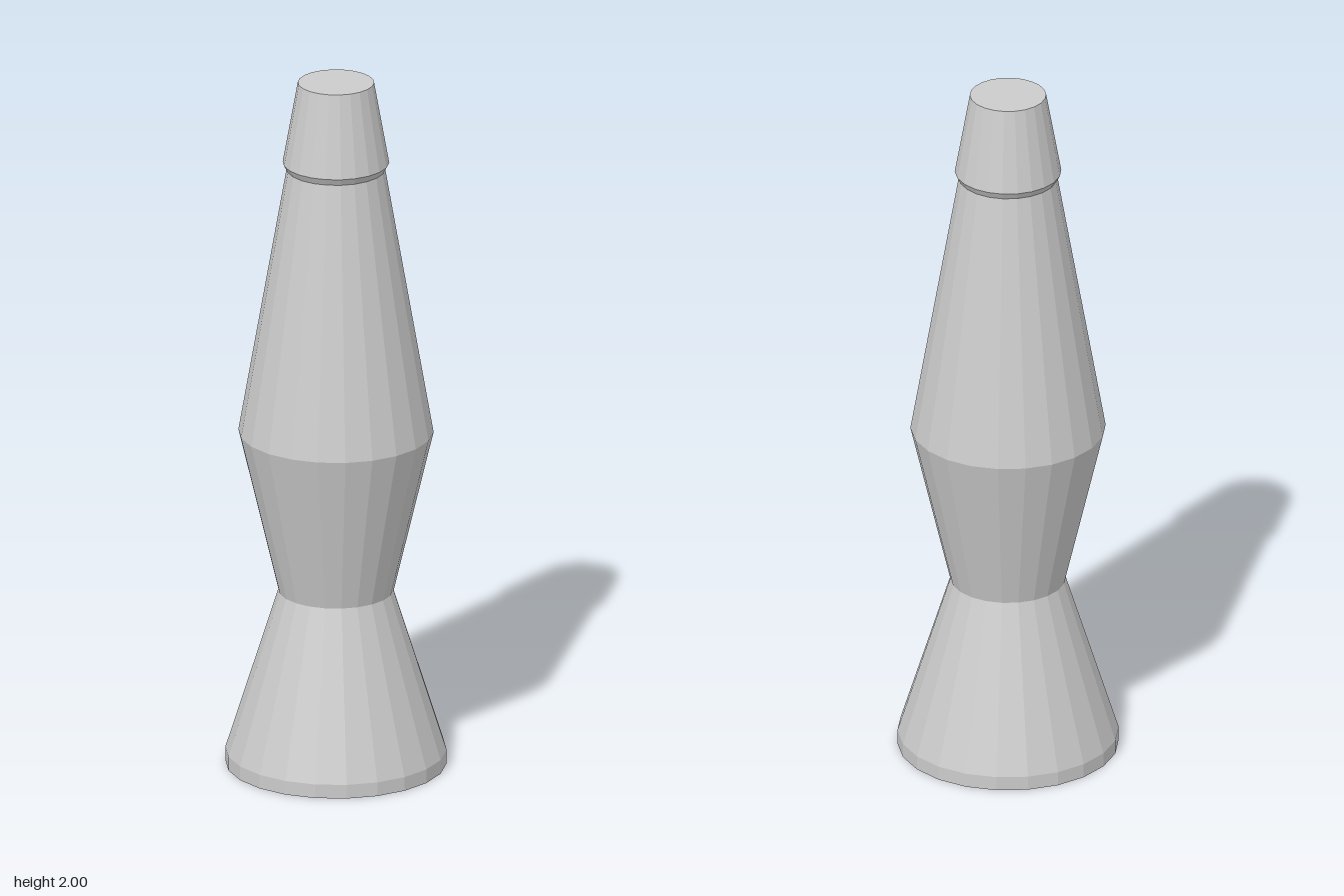
import * as THREE from 'three';

const SIDES = 22;

// Faceted solid of revolution from [radius, height] points, listed bottom to top
function turned(name, profile) {
  const points = profile.map(([r, y]) => new THREE.Vector2(r, y));
  const material = new THREE.MeshStandardMaterial({
    color: 0xcccccc, flatShading: true, side: THREE.DoubleSide,
  });
  const mesh = new THREE.Mesh(new THREE.LatheGeometry(points, SIDES), material);
  mesh.name = name;
  return mesh;
}

export function createModel() {
  const lamp = new THREE.Group();
  lamp.name = 'lavaLamp';

  // Flared foot with a short straight rim, closed underneath
  lamp.add(turned('base', [[0, 0], [0.307, 0], [0.307, 0.04], [0.16, 0.507]]));

  // Tapered bottle, widest at the middle
  lamp.add(turned('glassBottle', [[0.16, 0.507], [0.271, 0.975], [0.137, 1.745]]));

  // Cap with a chamfered lower lip and a flat top
  lamp.add(turned('cap', [[0.137, 1.745], [0.148, 1.765], [0.106, 2], [0, 2]]));

  return lamp;
}
